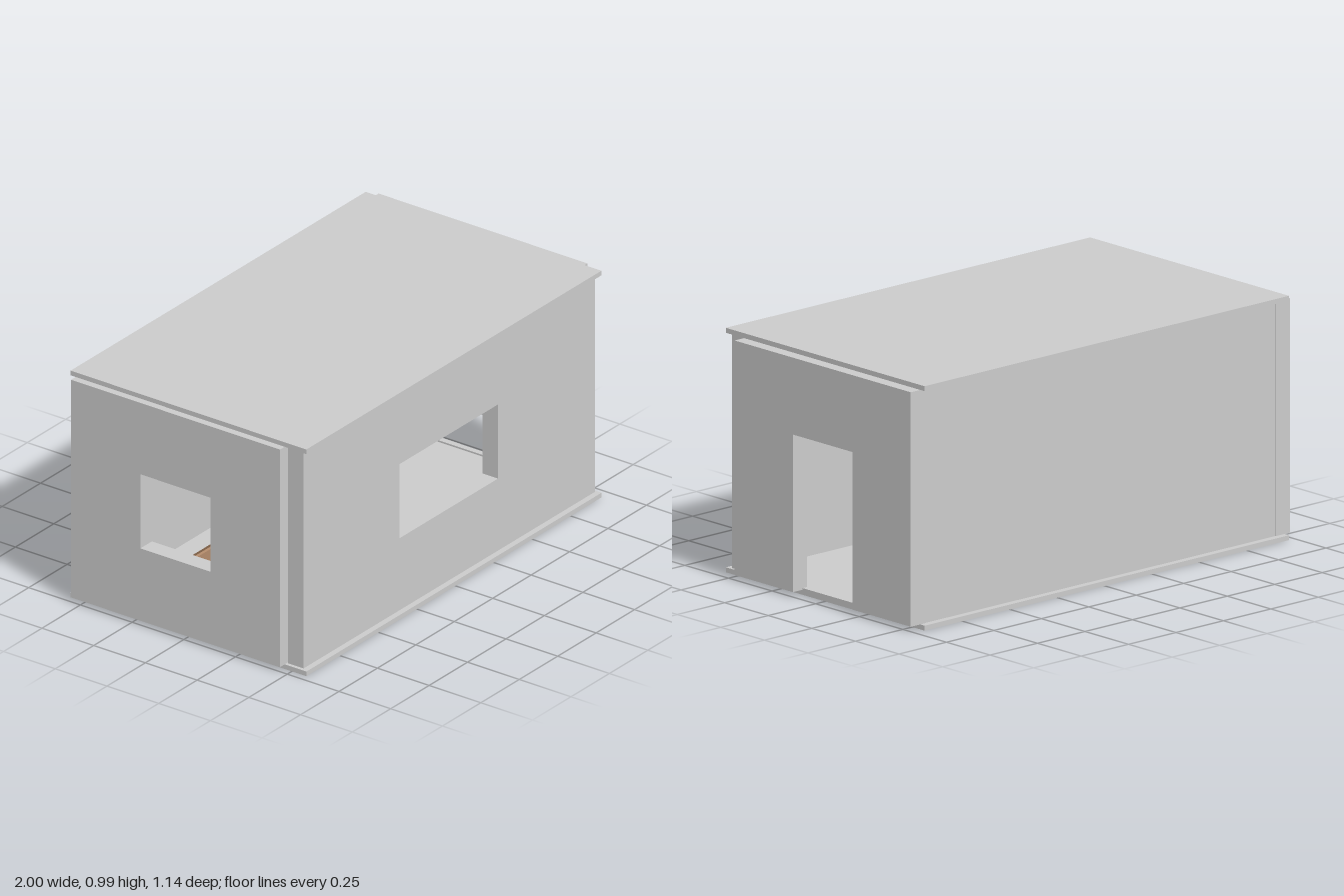
import * as THREE from 'three';

const grey = new THREE.MeshStandardMaterial({ color: 0xcccccc });
const teal = new THREE.MeshStandardMaterial({ color: 0x4fb5ad });
const wood = new THREE.MeshStandardMaterial({ color: 0xb58c6c });
const darkWood = new THREE.MeshStandardMaterial({ color: 0x7a5c44 });

const WALL = 0.075, BASE = 0.02, TOP = 0.965;

export function createModel() {
  const model = new THREE.Group();
  model.name = 'room';

  const add = (name, geometry, material, parent = model) => {
    const mesh = new THREE.Mesh(geometry, material);
    mesh.name = name;
    parent.add(mesh);
    return mesh;
  };

  // Box given by its limits on each axis
  const box = (name, [x0, x1], [y0, y1], [z0, z1], material = grey, parent = model) => {
    const mesh = add(name, new THREE.BoxGeometry(x1 - x0, y1 - y0, z1 - z0), material, parent);
    mesh.position.set((x0 + x1) / 2, (y0 + y1) / 2, (z0 + z1) / 2);
    return mesh;
  };

  const points = (list) => list.map(([x, y]) => new THREE.Vector2(x, y));
  const rectangle = (a, b, c, d) => points([[a, c], [b, c], [b, d], [a, d]]);

  // Wall outline extruded to the wall thickness, with an optional window
  const wall = (name, outline, opening) => {
    const shape = new THREE.Shape(outline);
    if (opening) shape.holes.push(new THREE.Path(opening));
    return add(name, new THREE.ExtrudeGeometry(shape, { depth: WALL, bevelEnabled: false }), grey);
  };

  // Floor and roof slabs
  box('floor', [-0.97, 0.95], [0, BASE], [-0.57, 0.57]);
  box('roof', [-0.97, 0.95], [TOP, 0.985], [-0.57, 0.57]);

  // Front wall with its wide window, and the plain back wall
  wall('frontWall', rectangle(-0.955, 0.94, BASE, TOP), rectangle(-0.33, 0.31, 0.333, 0.655))
    .position.z = 0.47;
  box('backWall', [-0.925, 0.925], [BASE, TOP], [-0.543, -0.468]);

  // End walls: drawn along -z, then turned to face the sides
  const door = wall('doorWall', points([
    [-0.465, BASE], [-0.13, BASE], [-0.13, 0.655], [0.21, 0.655],
    [0.21, BASE], [0.545, BASE], [0.545, TOP], [-0.465, TOP],
  ]));
  door.rotation.y = Math.PI / 2;
  door.position.x = 1 - WALL;
  const side = wall('windowWall', rectangle(-0.465, 0.545, BASE, TOP), rectangle(-0.13, 0.21, 0.333, 0.655));
  side.rotation.y = Math.PI / 2;
  side.position.x = -1;
  box('threshold', [0.925, 0.95], [BASE, 0.027], [-0.21, 0.13]);

  // Bed: mattress on a tapered base between two boards
  const bed = new THREE.Group();
  bed.name = 'bed';
  model.add(bed);
  box('mattress', [-0.9, -0.4], [0.105, 0.2], [-0.045, 0.31], teal, bed);
  const base = new THREE.ExtrudeGeometry(
    new THREE.Shape(points([[-0.31, 0.035], [0.045, 0.035], [0.035, 0.1], [-0.31, 0.1]])),
    { depth: 0.48, bevelEnabled: false });
  const baseMesh = add('bedBase', base, teal, bed);
  baseMesh.rotation.y = Math.PI / 2;
  baseMesh.position.x = -0.89;
  box('footboard', [-0.91, -0.393], [0.035, 0.285], [-0.058, -0.045], wood, bed);
  box('footboardBack', [-0.91, -0.393], [0.035, 0.285], [-0.07, -0.058], darkWood, bed);
  box('headboard', [-0.91, -0.393], [0.035, 0.285], [0.31, 0.333], wood, bed);

  // Low shelf in the back corner
  const shelf = new THREE.Group();
  shelf.name = 'shelf';
  model.add(shelf);
  for (const y of [0.04, 0.155]) {
    box('shelfBoard', [-0.9, -0.68], [y, y + 0.015], [-0.45, -0.3], darkWood, shelf);
  }
  for (const x of [-0.9, -0.8, -0.695]) {
    box('shelfUpright', [x, x + 0.015], [BASE, 0.165], [-0.45, -0.3], wood, shelf);
  }

  // Small lamp on a stand by the front window
  const lamp = add('lamp', new THREE.LatheGeometry(points([
    [0, BASE], [0.035, BASE], [0.035, 0.03], [0.008, 0.035], [0.008, 0.31],
    [0.025, 0.33], [0.034, 0.37], [0.034, 0.4], [0.038, 0.41], [0, 0.41],
  ]), 20), new THREE.MeshStandardMaterial({ color: 0xcccccc, side: THREE.DoubleSide }));
  lamp.position.set(-0.335, 0, 0.425);

  return model;
}
